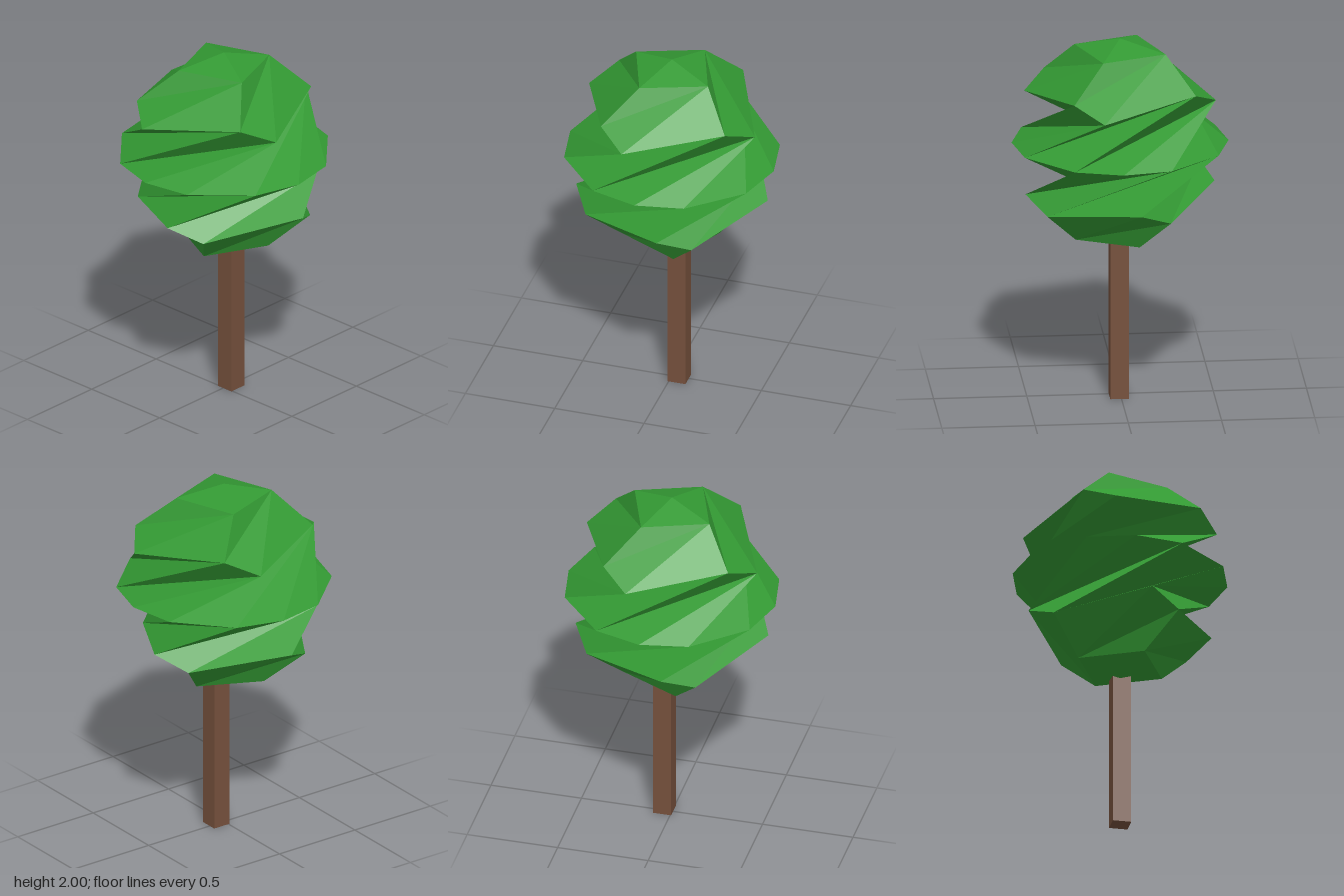
import * as THREE from 'three';

const RADIUS = 0.58;
const CENTRE_Y = 1.42;
const TWIST = THREE.MathUtils.degToRad(-304.6); // turn per unit of height
const START = THREE.MathUtils.degToRad(3); // turn at the equator

// Low-poly ball whose layers are wrung around the vertical axis
function twistedBall() {
  const geometry = new THREE.OctahedronGeometry(RADIUS, 2);
  const p = geometry.attributes.position;
  for (let i = 0; i < p.count; i++) {
    const x = p.getX(i), y = p.getY(i), z = p.getZ(i);
    const a = START + TWIST * y;
    const c = Math.cos(a), s = Math.sin(a);
    p.setXYZ(i, x * c - z * s, y, x * s + z * c);
  }
  geometry.computeVertexNormals();
  return geometry;
}

export function createModel() {
  const tree = new THREE.Group();
  tree.name = 'tree';

  // Foliage
  const foliage = new THREE.Mesh(
    twistedBall(),
    new THREE.MeshStandardMaterial({ color: 0x339933, flatShading: true })
  );
  foliage.name = 'foliage';
  foliage.position.y = CENTRE_Y;
  tree.add(foliage);

  // Square trunk, slightly off centre, its top sunk into the foliage
  const height = 0.95;
  const trunk = new THREE.Mesh(
    new THREE.BoxGeometry(0.1, height, 0.1),
    new THREE.MeshStandardMaterial({ color: 0x75503c, flatShading: true })
  );
  trunk.name = 'trunk';
  trunk.position.set(0.01, height / 2, -0.044);
  tree.add(trunk);

  return tree;
}
